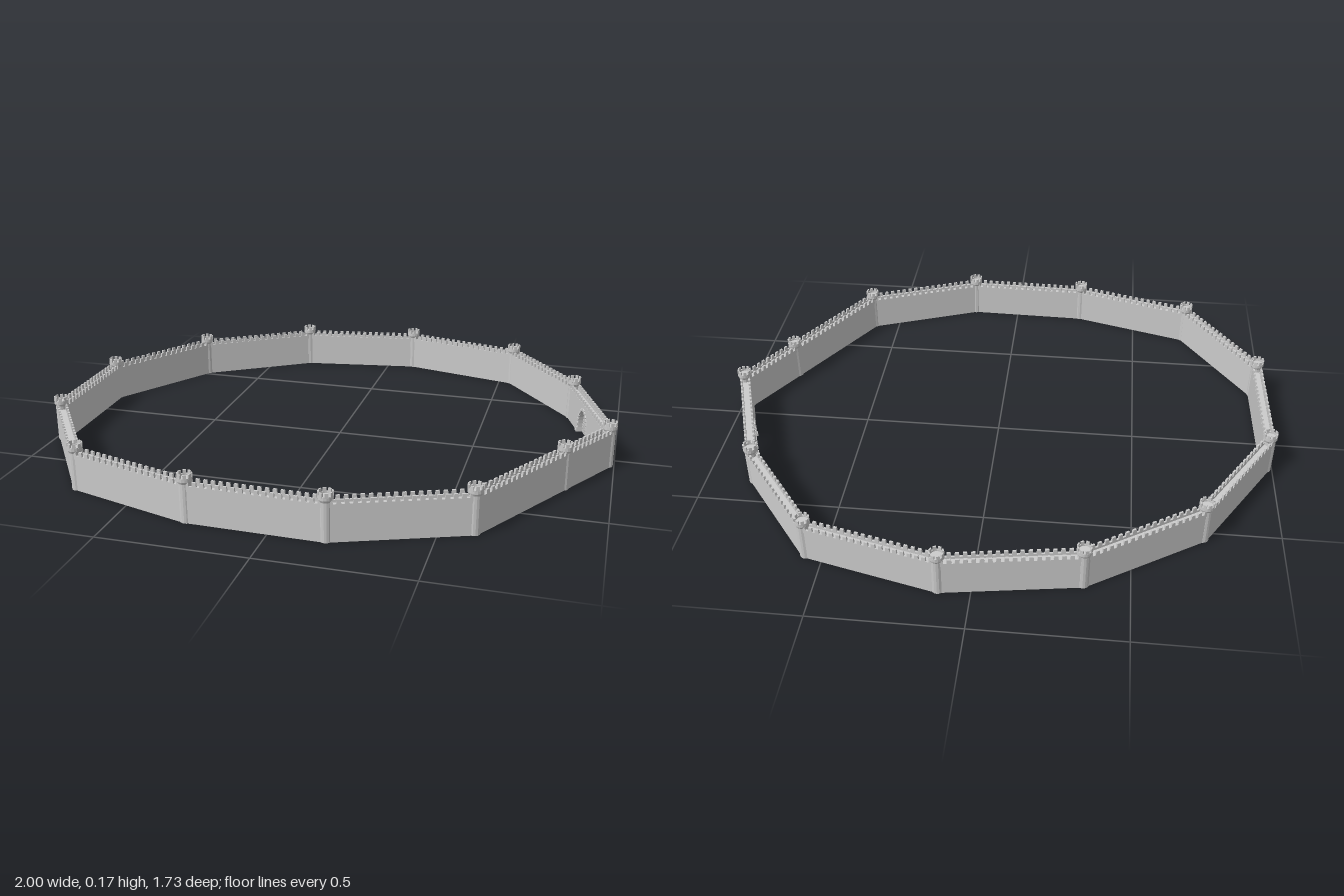
import * as THREE from 'three';
import { mergeGeometries } from 'three/addons/utils/BufferGeometryUtils.js';

const stone = new THREE.MeshStandardMaterial({ color: 0xcccccc, flatShading: true });

// Tower positions [x, z] around the ring
const CORNERS = [
  [0.105, -0.845], [0.555, -0.735], [0.825, -0.39], [0.975, 0.048], [0.84, 0.275],
  [0.605, 0.672], [0.183, 0.835], [-0.27, 0.825], [-0.71, 0.697], [-0.968, 0.317],
  [-0.975, -0.14], [-0.735, -0.527], [-0.348, -0.775],
];
const GATE_WALL = 2;
const GATE_X = -0.03;
const THICK = 0.034, WALK = 0.119, PARAPET = 0.127, TOP = 0.142;

function mesh(name, geometry) {
  const m = new THREE.Mesh(geometry, stone);
  m.name = name;
  return m;
}

function extrude(shape, depth, z) {
  return new THREE.ExtrudeGeometry(shape, { depth, bevelEnabled: false }).translate(0, 0, z - depth / 2);
}

function box(w, h, d, x, y, z) {
  return new THREE.BoxGeometry(w, h, d).translate(x, y, z);
}

// Point on an arch, t from 0 (right foot) to 1 (left foot)
function archPoint(t, halfWidth, height) {
  const a = t * Math.PI;
  return new THREE.Vector2(GATE_X + halfWidth * Math.cos(a), height * Math.pow(Math.sin(a), 0.9));
}

// Wall body, with the archway cut out of the gate wall
function wallBody(length, gate) {
  const h = length / 2;
  const s = new THREE.Shape();
  s.moveTo(-h, 0);
  if (gate) for (let i = 20; i >= 0; i--) {
    const p = archPoint(i / 20, 0.052, 0.1);
    s.lineTo(p.x, Math.max(0, p.y));
  }
  s.lineTo(h, 0);
  s.lineTo(h, WALK);
  s.lineTo(-h, WALK);
  return extrude(s, THICK, 0);
}

// Toothed parapet along both edges of the walk
function parapets(length) {
  const h = length / 2, n = Math.round(length / 0.025), step = length / n;
  const s = new THREE.Shape();
  s.moveTo(-h, WALK - 0.004);
  s.lineTo(h, WALK - 0.004);
  s.lineTo(h, PARAPET);
  for (let i = 0; i < n; i++) {
    const x = h - (i + 0.5) * step;
    s.lineTo(x + step * 0.3, PARAPET);
    s.lineTo(x + step * 0.24, TOP);
    s.lineTo(x - step * 0.24, TOP);
    s.lineTo(x - step * 0.3, PARAPET);
  }
  s.lineTo(-h, PARAPET);
  const z = THICK / 2 - 0.0025;
  return mergeGeometries([extrude(s, 0.007, z), extrude(s, 0.007, -z)]);
}

// Raised stones framing the archway on both faces
function archStones() {
  const parts = [], n = 17;
  for (const side of [-1, 1]) for (let i = 0; i < n; i++) {
    const t = (i + 0.5) / n;
    const p = archPoint(t, 0.058, 0.106);
    const q = archPoint(t + 0.01, 0.058, 0.106).sub(archPoint(t - 0.01, 0.058, 0.106));
    parts.push(new THREE.BoxGeometry(0.011, 0.01, 0.005)
      .rotateZ(Math.atan2(q.y, q.x)).translate(p.x, p.y, side * (THICK / 2 + 0.001)));
  }
  // Foot blocks
  for (const side of [-1, 1]) parts.push(box(0.018, 0.007, THICK + 0.01, GATE_X + side * 0.063, 0.0035, 0));
  return mergeGeometries(parts);
}

// Portcullis lattice clipped to the arch
function portcullis() {
  const parts = [], step = 0.0105, bar = 0.0028;
  for (let i = -4; i <= 4; i++) {
    const x = i * step;
    const height = 0.1 * Math.pow(1 - (x / 0.052) ** 2, 0.45);
    parts.push(box(bar, height, bar, GATE_X + x, height / 2, 0));
  }
  for (let y = 0.01; y < 0.097; y += step) {
    const half = 0.052 * Math.sqrt(1 - Math.pow(y / 0.1, 2 / 0.9));
    parts.push(box(half * 2, bar, bar, GATE_X, y, 0));
  }
  return mergeGeometries(parts);
}

function wall(a, b, gate) {
  const dx = b[0] - a[0], dz = b[1] - a[1], length = Math.hypot(dx, dz);
  const g = new THREE.Group();
  g.name = gate ? 'gateWall' : 'wall';
  g.position.set((a[0] + b[0]) / 2, 0, (a[1] + b[1]) / 2);
  g.rotation.y = Math.atan2(-dz, dx);
  g.add(mesh('wallBody', wallBody(length, gate)), mesh('parapets', parapets(length)));
  if (gate) g.add(mesh('archStones', archStones()), mesh('portcullis', portcullis()));
  return g;
}

// Round tower: shaft, flared head and a ring of merlons
function tower([x, z]) {
  const g = new THREE.Group();
  g.name = 'tower';
  g.position.set(x, 0, z);
  const profile = [[0, 0], [0.021, 0], [0.021, 0.132], [0.025, 0.14], [0.025, 0.153], [0.02, 0.153], [0.02, 0.147], [0, 0.147]];
  g.add(mesh('towerShaft', new THREE.LatheGeometry(profile.map(p => new THREE.Vector2(...p)), 16)));
  const merlons = [];
  for (let i = 0; i < 8; i++) {
    merlons.push(box(0.005, 0.016, 0.011, 0.0222, 0.157, 0).rotateY((i + 0.5) * Math.PI / 4));
  }
  g.add(mesh('towerMerlons', mergeGeometries(merlons)));
  return g;
}

export function createModel() {
  const model = new THREE.Group();
  model.name = 'fortressWall';
  CORNERS.forEach((c, i) => {
    model.add(tower(c), wall(c, CORNERS[(i + 1) % CORNERS.length], i === GATE_WALL));
  });
  return model;
}
